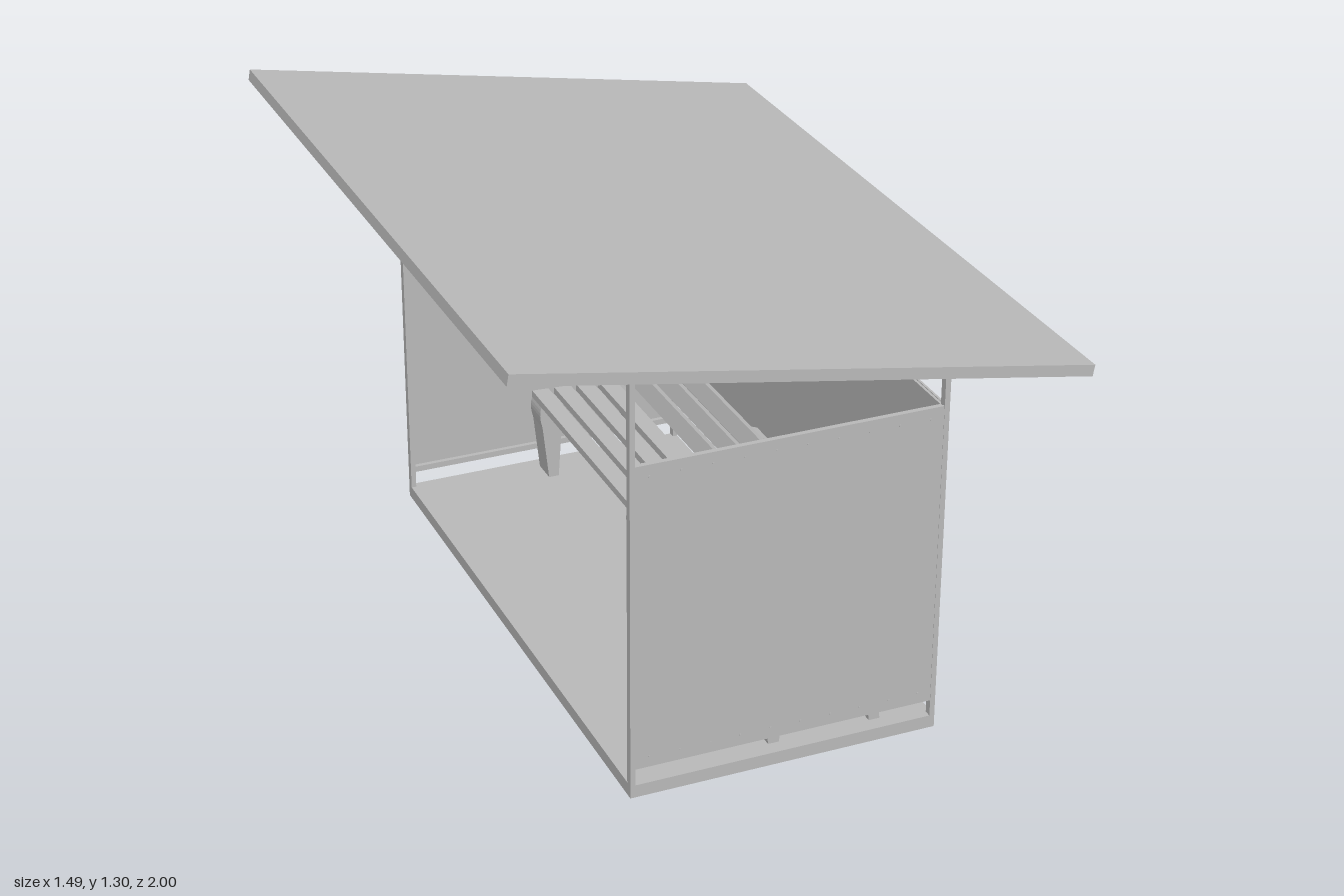
import * as THREE from 'three';

export function createModel() {
  const model = new THREE.Group();
  model.name = 'shelter';
  const grey = new THREE.MeshStandardMaterial({ color: 0xb8b8b8 });
  grey.name = 'plain grey';

  const add = (parent, name, geometry, x = 0, y = 0, z = 0) => {
    const mesh = new THREE.Mesh(geometry, grey);
    mesh.name = name;
    mesh.position.set(x, y, z);
    parent.add(mesh);
    return mesh;
  };
  // Box given by its minimum and maximum corners
  const block = (parent, name, [x0, y0, z0], [x1, y1, z1]) =>
    add(parent, name, new THREE.BoxGeometry(x1 - x0, y1 - y0, z1 - z0),
      (x0 + x1) / 2, (y0 + y1) / 2, (z0 + z1) / 2);

  const X0 = -0.388, X1 = 0.445, Z0 = -0.825, Z1 = 0.84;
  const PX = 0.014, PZ = 0.02; // post section

  // Floor slab and sloping roof
  block(model, 'floor', [X0, 0, Z0], [X1, 0.035, Z1]);
  const roof = add(model, 'roof', new THREE.BoxGeometry(1.503, 0.03, 2), 0, 1.155, 0);
  roof.rotation.z = -Math.PI / 18;

  // Corner posts, taller on the open side
  for (const z of [Z0, Z1 - PZ]) {
    block(model, 'tallPost', [X0, 0.03, z], [X0 + PX, 1.205, z + PZ]);
    block(model, 'shortPost', [X1 - PX, 0.03, z], [X1, 1.035, z + PZ]);
  }

  const rivet = new THREE.CylinderGeometry(0.003, 0.003, 0.003, 8);

  // End walls with top and bottom rails and rivets
  for (const side of [-1, 1]) {
    const wall = new THREE.Group();
    wall.name = 'endWall';
    model.add(wall);
    const outer = side > 0 ? Z1 : Z0;
    const span = (name, y0, y1, d0, d1) => {
      const a = outer - side * d0, b = outer - side * d1;
      block(wall, name, [X0 + PX, y0, Math.min(a, b)], [X1 - PX, y1, Math.max(a, b)]);
    };
    span('endPanel', 0.08, 0.915, 0.001, 0.007);
    span('endTopRail', 0.895, 0.912, 0.007, 0.02);
    span('endBottomRail', 0.083, 0.1, 0.007, 0.02);
    for (const y of [0.11, 0.885]) {
      for (let i = 0; i < 10; i++) {
        const x = X0 + 0.05 + (X1 - X0 - 0.1) * i / 9;
        add(wall, 'rivet', rivet, x, y, outer - side * 0.0005).rotation.x = Math.PI / 2;
      }
    }
  }

  // Long rear wall behind the bench
  const rear = new THREE.Group();
  rear.name = 'longWall';
  model.add(rear);
  block(rear, 'longPanel', [X1 - 0.007, 0.225, Z0 + PZ], [X1 - 0.001, 0.912, Z1 - PZ]);
  for (const y of [0.228, 0.893])
    block(rear, 'longRail', [X1 - PX, y, Z0 + PZ], [X1 - 0.007, y + 0.017, Z1 - PZ]);
  for (const y of [0.255, 0.885]) {
    for (let i = 0; i < 20; i++) {
      const z = Z0 + 0.05 + (Z1 - Z0 - 0.1) * i / 19;
      add(rear, 'rivet', rivet, X1 - 0.0005, y, z).rotation.z = Math.PI / 2;
    }
  }

  // Bench facing the open side
  const bench = new THREE.Group();
  bench.name = 'bench';
  model.add(bench);

  // Support outline: front leg, seat bearer, splayed rear leg and back upright
  const s = new THREE.Shape();
  s.moveTo(0, 0.035);
  s.lineTo(0.03, 0.035);
  s.lineTo(0.04, 0.18);
  s.quadraticCurveTo(0.045, 0.22, 0.085, 0.222);
  s.lineTo(0.19, 0.215);
  s.quadraticCurveTo(0.235, 0.21, 0.25, 0.16);
  s.quadraticCurveTo(0.272, 0.1, 0.28, 0.035);
  s.lineTo(0.31, 0.035);
  s.quadraticCurveTo(0.3, 0.12, 0.288, 0.19);
  s.quadraticCurveTo(0.28, 0.25, 0.3, 0.29);
  s.lineTo(0.36, 0.435);
  s.lineTo(0.335, 0.445);
  s.lineTo(0.255, 0.275);
  s.quadraticCurveTo(0.24, 0.255, 0.21, 0.255);
  s.lineTo(-0.02, 0.265);
  s.quadraticCurveTo(-0.03, 0.24, -0.018, 0.2);
  s.closePath();
  const support = new THREE.ExtrudeGeometry(s, { depth: 0.075, bevelEnabled: false, curveSegments: 6 });
  for (const z of [-0.785, -0.065, 0.725]) add(bench, 'benchSupport', support, 0, 0, z);

  // Seat and back slats
  const slat = new THREE.BoxGeometry(0.05, 0.02, 1.59);
  for (let i = 0; i < 4; i++) {
    add(bench, 'seatSlat', slat, 0.005 + i * 0.068, 0.274 - i * 0.003, 0.01).rotation.z = -0.04;
  }
  for (let i = 0; i < 3; i++) {
    add(bench, 'backSlat', slat, 0.267 + i * 0.026, 0.318 + i * 0.055, 0.01).rotation.z = 1.13;
  }
  return model;
}
